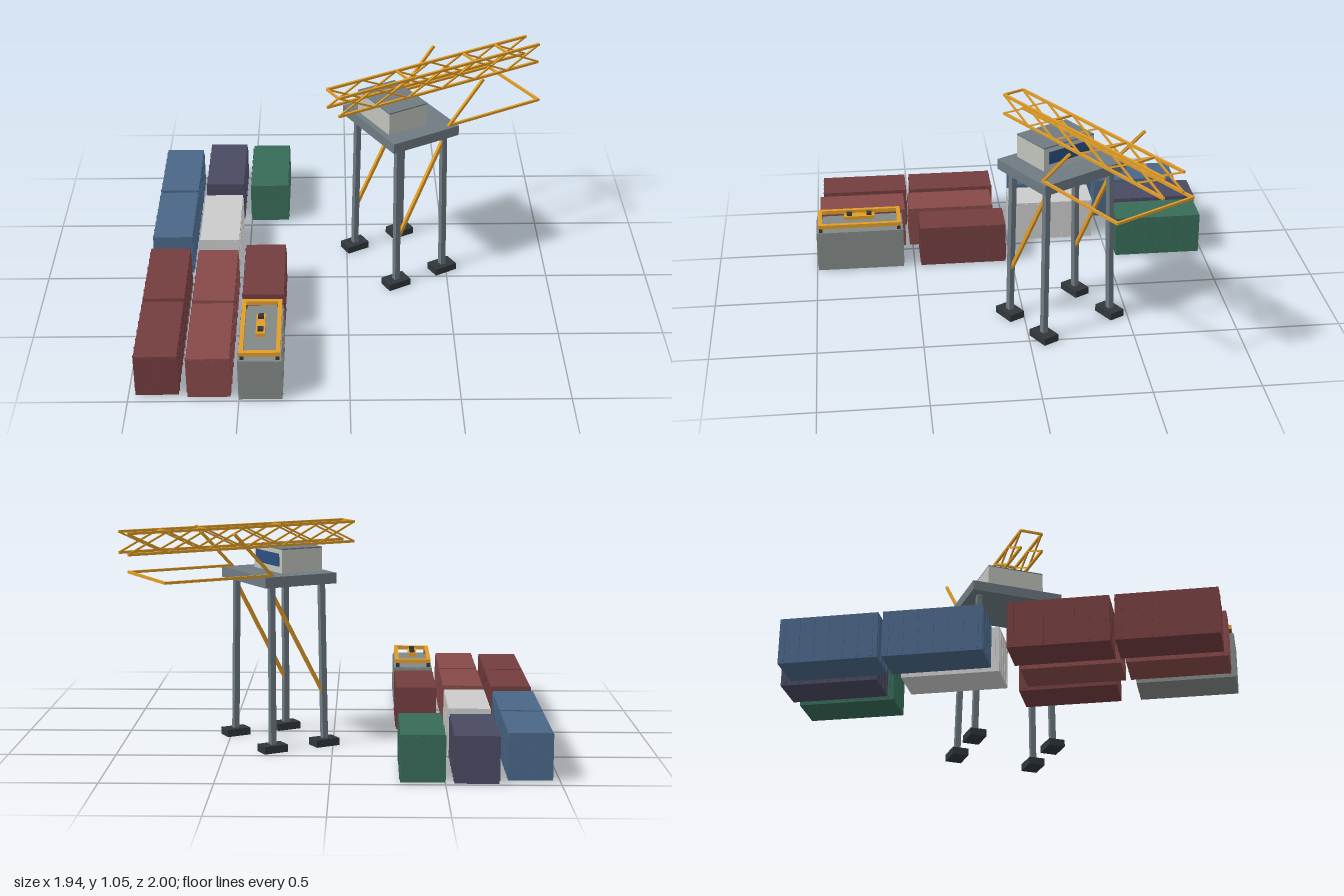
import * as THREE from 'three';

const mat = (color) => new THREE.MeshStandardMaterial({ color });
const M = {
  steel: mat(0x6e7a82), yellow: mat(0xe09c28), dark: mat(0x30363a), wall: mat(0xc0c4bc),
  glass: mat(0x2a4f80), blue: mat(0x4a6788), maroon: mat(0x733d3f), red: mat(0x874949),
  purple: mat(0x494961), green: mat(0x376b58), grey: mat(0x828886), light: mat(0xcccccc),
};

function box(parent, name, m, w, h, d, x, y, z) {
  const mesh = new THREE.Mesh(new THREE.BoxGeometry(w, h, d), m);
  mesh.position.set(x, y, z);
  mesh.name = name;
  parent.add(mesh);
  return mesh;
}

// square bar running from point a to point b
function bar(parent, name, m, a, b, t, up = [0, 1, 0]) {
  const p = new THREE.Vector3(...a), q = new THREE.Vector3(...b);
  const mesh = new THREE.Mesh(new THREE.BoxGeometry(t, t, p.distanceTo(q)), m);
  mesh.position.copy(p).add(q).multiplyScalar(0.5);
  mesh.up.set(...up);
  mesh.lookAt(q);
  mesh.name = name;
  parent.add(mesh);
}

function container(m, x, z) {
  const g = new THREE.Group();
  g.name = 'container';
  g.position.set(x, 0, z);
  box(g, 'containerBody', m, 0.194, 0.21, 0.436, 0, 0.11, 0);
  // vertical ribs on the long sides and the ends
  for (const s of [-1, 1]) {
    for (let i = 0; i < 7; i++)
      box(g, 'sideRib', m, 0.006, 0.195, 0.01, s * 0.098, 0.11, -0.195 + i * 0.065);
    for (let i = 0; i < 4; i++)
      box(g, 'endRib', m, 0.01, 0.195, 0.005, -0.075 + i * 0.05, 0.11, s * 0.218);
  }
  return g;
}

function crane() {
  const g = new THREE.Group();
  g.name = 'crane';

  // feet, legs and leg braces
  for (const v of [-1, 1]) {
    for (const u of [-1, 1]) {
      box(g, 'foot', M.dark, 0.12, 0.035, 0.08, u * 0.137, 0.0175, v * 0.2);
      bar(g, 'leg', M.steel, [u * 0.137, 0.03, v * 0.2], [u * 0.13, 0.78, v * 0.185], 0.027, [1, 0, 0]);
    }
    bar(g, 'legBrace', M.yellow, [-0.135, 0.25, v * 0.195], [0.13, 0.745, v * 0.186], 0.016);
  }

  // platform and cabin
  box(g, 'platform', M.steel, 0.37, 0.05, 0.47, 0, 0.8, 0);
  box(g, 'cabin', M.wall, 0.21, 0.11, 0.29, -0.05, 0.88, 0);
  box(g, 'cabinRoof', M.steel, 0.21, 0.006, 0.29, -0.05, 0.938, 0);
  box(g, 'window', M.glass, 0.006, 0.06, 0.235, 0.057, 0.885, 0);

  // lattice boom: two trusses of six crossed panels
  const u0 = -0.38, step = 1.16 / 6, lo = 0.945, hi = 1.04;
  for (const v of [-0.055, 0.055]) {
    for (const y of [lo, hi])
      bar(g, 'boomChord', M.yellow, [u0, y, v], [u0 + 6 * step, y, v], 0.012);
    for (let i = 0; i < 6; i++) {
      const a = u0 + i * step, b = a + step;
      bar(g, 'boomLattice', M.yellow, [a, lo, v], [b, hi, v], 0.008);
      bar(g, 'boomLattice', M.yellow, [a, hi, v], [b, lo, v], 0.008);
    }
  }
  for (const i of [0, 2, 4, 5])
    bar(g, 'boomCrossbar', M.yellow, [u0 + i * step, hi, -0.055], [u0 + i * step, hi, 0.055], 0.01);

  // outrigger frame and rising stays
  for (const v of [-0.215, 0.215]) {
    bar(g, 'outriggerArm', M.yellow, [0.14, 0.83, v], [0.675, 0.83, v], 0.012);
    bar(g, 'stay', M.yellow, [0.137, 0.825, v], [0.33, 1.03, v], 0.013);
  }
  bar(g, 'outriggerEnd', M.yellow, [0.67, 0.83, -0.215], [0.67, 0.83, 0.215], 0.012);

  g.position.set(0.26, 0, -0.175);
  g.rotation.y = Math.PI / 6;
  return g;
}

function spreader() {
  const g = new THREE.Group();
  g.name = 'spreader';
  g.position.set(-0.402, 0, 0.775);
  for (const s of [-1, 1]) {
    box(g, 'sideBeam', M.yellow, 0.02, 0.02, 0.42, s * 0.083, 0.246, 0);
    box(g, 'endBeam', M.yellow, 0.186, 0.02, 0.02, 0, 0.246, s * 0.2);
    for (const e of [-1, 1])
      box(g, 'cornerLock', M.dark, 0.018, 0.024, 0.018, s * 0.08, 0.225, e * 0.198);
    box(g, 'pulleyBlock', M.dark, 0.026, 0.02, 0.026, 0, 0.268, s * 0.05);
  }
  box(g, 'headBlock', M.yellow, 0.042, 0.018, 0.155, 0, 0.256, 0);
  return g;
}

export function createModel() {
  const model = new THREE.Group();
  model.name = 'containerYard';

  // rows of containers: x, then [material, z]
  const rows = [
    [-0.87, [['blue', -0.718], ['blue', -0.26], ['maroon', 0.28], ['maroon', 0.738]]],
    [-0.635, [['purple', -0.779], ['light', -0.232], ['red', 0.297], ['red', 0.756]]],
    [-0.402, [['green', -0.762], ['maroon', 0.25], ['grey', 0.775]]],
  ];
  for (const [x, row] of rows)
    for (const [m, z] of row) model.add(container(M[m], x, z));

  model.add(crane(), spreader());
  return model;
}
